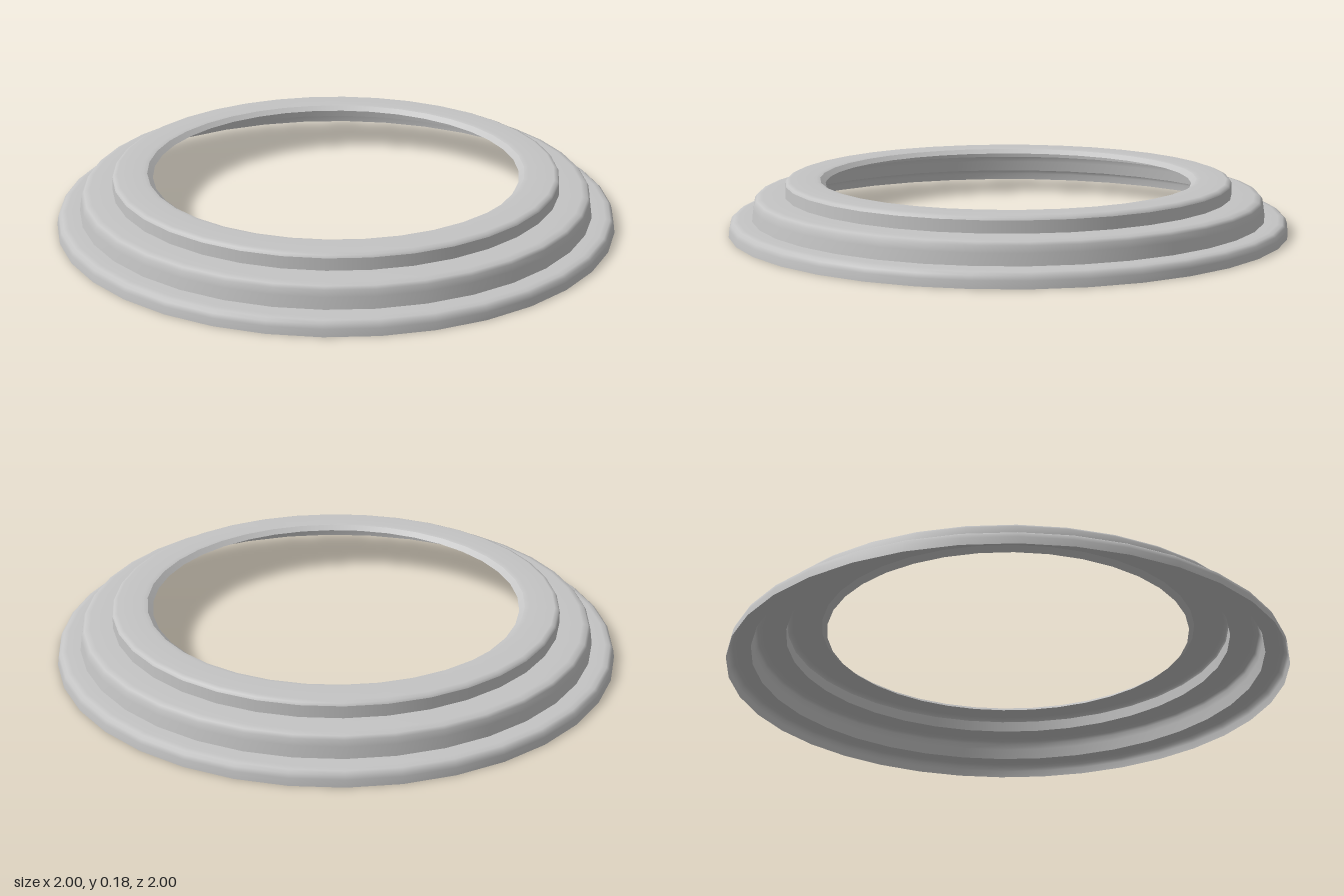
import * as THREE from 'three';

const SIDES = 36;

export function createModel() {
  const model = new THREE.Group();
  model.name = 'steppedRing';
  const grey = new THREE.MeshStandardMaterial({ color: 0xc4c4c4, side: THREE.DoubleSide });
  grey.name = 'light grey';

  // Revolves an open [radius, height] profile; separate bands keep the step corners sharp
  const band = (name, profile) => {
    const points = profile.map(([r, y]) => new THREE.Vector2(r, y));
    const mesh = new THREE.Mesh(new THREE.LatheGeometry(points, SIDES), grey);
    mesh.name = name;
    model.add(mesh);
  };

  // Wide bottom step with a rounded shoulder
  band('bottomStep', [[1, 0], [0.997, 0.025], [0.992, 0.04], [0.982, 0.048], [0.965, 0.051], [0.918, 0.051]]);

  // Taller middle step
  band('middleStep', [[0.918, 0.051], [0.912, 0.09], [0.908, 0.112], [0.9, 0.122], [0.88, 0.127], [0.8, 0.127]]);

  // Top step: wall, bevelled shoulder and flat rim
  band('topStepWall', [[0.8, 0.127], [0.798, 0.168]]);
  band('topRim', [[0.798, 0.168], [0.793, 0.176], [0.78, 0.181], [0.69, 0.181], [0.675, 0.178]]);

  // Sloping lip around the opening
  band('innerLip', [[0.675, 0.178], [0.656, 0.162]]);

  return model;
}
